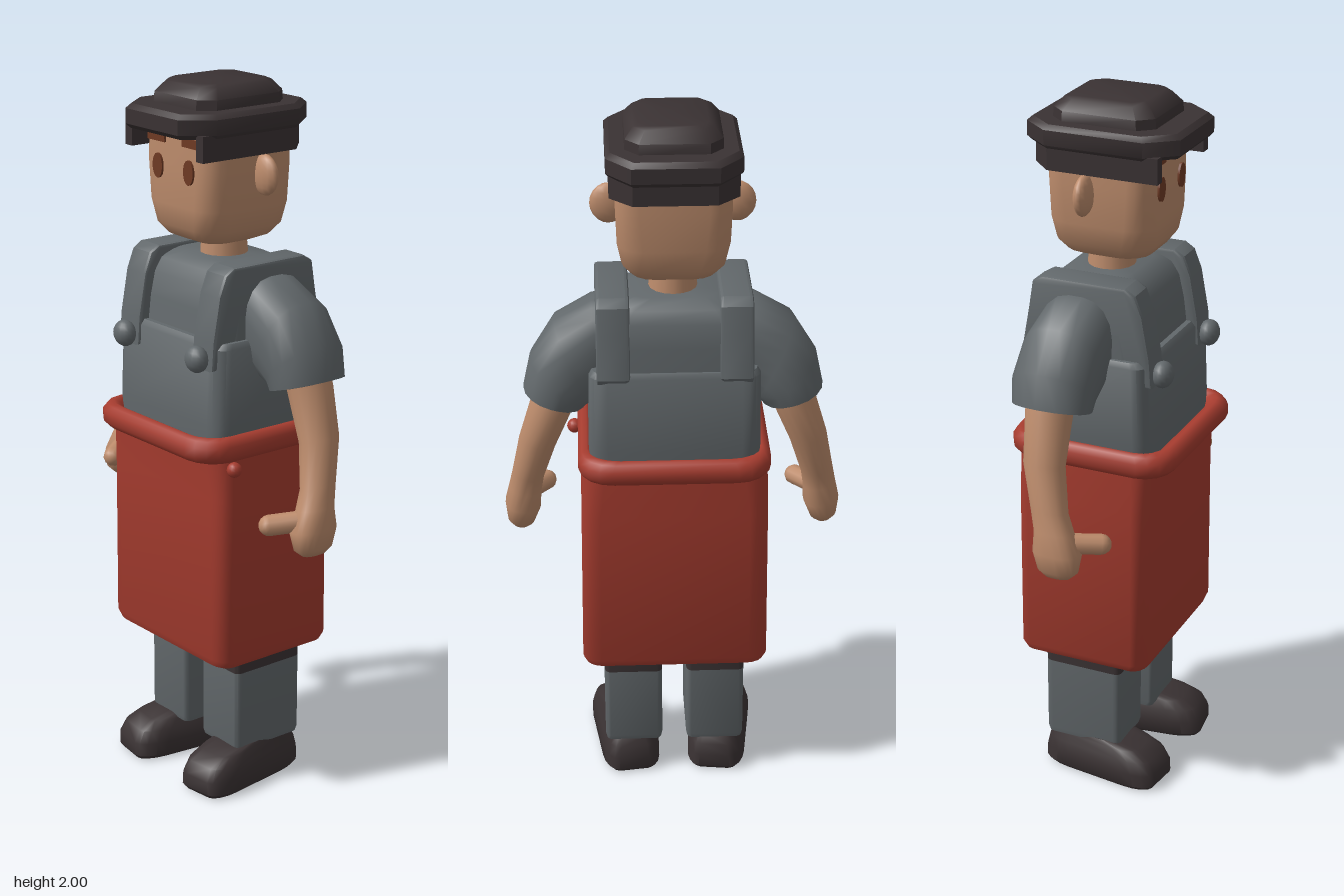
import * as THREE from 'three';
import { toCreasedNormals } from 'three/addons/utils/BufferGeometryUtils.js';

const mat = (name, color) => {
  const m = new THREE.MeshStandardMaterial({ color });
  m.name = name;
  return m;
};

// Skin through rounded-rectangle rings, listed bottom to top.
// ring: [x, y, z, halfWidth, halfDepth, rounding 0..1, tilt]; side -1 mirrors in x.
function loft(rings, { side = 1, seg = 4, crease = 0.7 } = {}) {
  const pos = [], idx = [], n = 4 * (seg + 1);
  for (const [x, y, z, w, d, k = 0.3, tilt = 0] of rings) {
    for (let c = 0; c < 4; c++) {
      const sx = c === 0 || c === 3 ? 1 : -1, sz = c < 2 ? 1 : -1;
      for (let i = 0; i <= seg; i++) {
        const a = (c + i / seg) * Math.PI / 2;
        const u = w * (sx * (1 - k) + k * Math.cos(a));
        const v = d * (sz * (1 - k) + k * Math.sin(a));
        pos.push(side * (x + u * Math.cos(tilt)), y + u * Math.sin(tilt), z + v);
      }
    }
  }
  const tri = (a, b, c) => (side > 0 ? idx.push(a, b, c) : idx.push(a, c, b));
  const last = (rings.length - 1) * n;
  for (let r = 0; r < last; r += n) {
    for (let i = 0; i < n; i++) {
      const j = (i + 1) % n;
      tri(r + i, r + n + i, r + j);
      tri(r + j, r + n + i, r + n + j);
    }
  }
  // End caps
  for (const [r, top] of [[0, false], [last, true]]) {
    const [x, y, z] = rings[r / n], centre = pos.length / 3;
    pos.push(side * x, y, z);
    for (let i = 0; i < n; i++) {
      const j = (i + 1) % n;
      if (top) tri(centre, r + j, r + i);
      else tri(centre, r + i, r + j);
    }
  }
  const g = new THREE.BufferGeometry();
  g.setAttribute('position', new THREE.Float32BufferAttribute(pos, 3));
  g.setIndex(idx);
  return toCreasedNormals(g, crease);
}

export function createModel() {
  const group = new THREE.Group();
  const cloth = mat('grey cloth', 0x62686b);
  const red = mat('red apron', 0xa63c2f);
  const skin = mat('skin', 0xbd8c6c);
  const dark = mat('dark leather', 0x3a3233);
  const brown = mat('brown', 0x6f3a24);
  const add = (name, geo, m) => {
    const mesh = new THREE.Mesh(geo, m);
    mesh.name = name;
    group.add(mesh);
    return mesh;
  };

  // Skirt with a rolled rim that dips inward at the top
  add('skirt', loft([
    [0, 0.40, -0.015, 0.235, 0.17, 0.2], [0, 0.408, -0.015, 0.252, 0.187, 0.2],
    [0, 0.43, -0.015, 0.262, 0.195, 0.2], [0, 0.90, -0.015, 0.258, 0.195, 0.2],
    [0, 1.03, -0.01, 0.255, 0.2, 0.25],
  ]), red);
  add('skirtRim', loft([
    [0, 1.01, 0, 0.235, 0.2, 0.35], [0, 1.015, 0, 0.255, 0.228, 0.35],
    [0, 1.032, 0, 0.264, 0.242, 0.35], [0, 1.06, 0, 0.264, 0.242, 0.35],
    [0, 1.077, 0, 0.254, 0.23, 0.35], [0, 1.083, 0, 0.24, 0.215, 0.35],
    [0, 1.075, 0, 0.228, 0.2, 0.35], [0, 1.05, 0, 0.22, 0.185, 0.35],
  ], { crease: 1 }), red);
  const knob = add('skirtKnob', new THREE.SphereGeometry(0.021, 12, 8), red);
  knob.position.set(0.274, 1.0, 0.152);

  // Bib and shirt
  add('bib', loft([
    [0, 1.03, -0.012, 0.228, 0.185, 0.22], [0, 1.10, -0.012, 0.234, 0.187, 0.22],
    [0, 1.318, -0.016, 0.231, 0.183, 0.22], [0, 1.333, -0.018, 0.222, 0.173, 0.22],
  ]), cloth);
  add('shirt', loft([
    [0, 1.25, -0.02, 0.215, 0.17, 0.3], [0, 1.40, -0.025, 0.21, 0.157, 0.3],
    [0, 1.465, -0.028, 0.205, 0.145, 0.35], [0, 1.50, -0.03, 0.18, 0.125, 0.4],
    [0, 1.522, -0.03, 0.12, 0.09, 0.5],
  ], { crease: 1 }), cloth);

  // Head and neck
  add('neck', new THREE.CylinderGeometry(0.058, 0.07, 0.14, 16).translate(0, 1.545, -0.03), skin);
  add('head', loft([
    [0, 1.565, -0.012, 0.08, 0.085, 0.6], [0, 1.58, -0.012, 0.115, 0.12, 0.55],
    [0, 1.61, -0.012, 0.138, 0.142, 0.5], [0, 1.67, -0.012, 0.15, 0.151, 0.45],
    [0, 1.78, -0.012, 0.154, 0.152, 0.4], [0, 1.90, -0.012, 0.15, 0.15, 0.4],
  ], { crease: 1 }), skin);

  // Flat cap: crown, thick band and a flap round the sides and back
  add('capBand', loft([
    [0, 1.872, -0.004, 0.168, 0.208, 0.36], [0, 1.884, -0.004, 0.178, 0.219, 0.36],
    [0, 1.925, -0.004, 0.178, 0.219, 0.36], [0, 1.938, -0.004, 0.166, 0.205, 0.36],
  ], { seg: 1 }), dark);
  add('capCrown', loft([
    [0, 1.93, -0.01, 0.128, 0.148, 0.28], [0, 1.965, -0.01, 0.127, 0.145, 0.28],
    [0, 1.993, -0.01, 0.105, 0.12, 0.28], [0, 2.0, -0.01, 0.09, 0.105, 0.28],
  ], { seg: 1 }), dark);
  const flap = new THREE.Shape([
    [0.17, 0.175], [0.17, -0.14], [0.11, -0.2], [-0.11, -0.2], [-0.17, -0.14], [-0.17, 0.175],
    [-0.14, 0.175], [-0.14, -0.12], [-0.1, -0.16], [0.1, -0.16], [0.14, -0.12], [0.14, 0.175],
  ].map(([x, z]) => new THREE.Vector2(x, z)));
  add('capFlap', new THREE.ExtrudeGeometry(flap, { depth: 0.07, bevelEnabled: false })
    .rotateX(Math.PI / 2).translate(0, 1.885, 0), dark);

  // Strap side profile, running over the shoulder (z, y)
  const strap = new THREE.Shape([
    [0.178, 1.26], [0.172, 1.34], [0.15, 1.46], [0.128, 1.515], [0.1, 1.533], [-0.14, 1.533],
    [-0.17, 1.515], [-0.182, 1.44], [-0.204, 1.32], [-0.17, 1.26],
  ].map(([z, y]) => new THREE.Vector2(z, y)));

  for (const side of [1, -1]) {
    const pre = side > 0 ? 'left' : 'right';
    const part = (name, rings, m, opt = {}) => add(pre + name, loft(rings, { side, ...opt }), m);

    // Strap and button
    add(pre + 'Strap', toCreasedNormals(new THREE.ExtrudeGeometry(strap, {
      depth: 0.07, bevelSize: 0.008, bevelThickness: 0.01, bevelOffset: -0.008, bevelSegments: 2,
    }).rotateY(-Math.PI / 2).translate(0.035 + side * 0.165, 0, 0), 0.6), cloth);
    const button = add(pre + 'Button', new THREE.SphereGeometry(0.037, 16, 10), cloth);
    button.scale.z = 0.8;
    button.position.set(side * 0.162, 1.29, 0.192);

    // Sleeve, from cuff to shoulder
    part('Sleeve', [
      [0.322, 1.212, -0.057, 0.07, 0.09, 0.9, 0.29], [0.325, 1.215, -0.057, 0.087, 0.108, 0.9, 0.29],
      [0.312, 1.265, -0.057, 0.102, 0.114, 0.9, 0.72], [0.27, 1.32, -0.05, 0.128, 0.112, 0.85, 1.15],
      [0.21, 1.36, -0.04, 0.132, 0.105, 0.8, 1.5], [0.12, 1.37, -0.035, 0.13, 0.1, 0.8, 1.57],
    ], cloth, { crease: 1 });

    // Arm and fist, from knuckles to upper arm
    part('Arm', [
      [0.432, 0.772, 0.005, 0.022, 0.035, 0.8, 0.15], [0.43, 0.79, 0.005, 0.038, 0.055, 0.8, 0.15],
      [0.423, 0.84, 0.0, 0.05, 0.066, 0.8, 0.15], [0.415, 0.895, -0.012, 0.046, 0.055, 0.9, 0.2],
      [0.405, 0.95, -0.03, 0.045, 0.052, 1, 0.25], [0.375, 1.07, -0.058, 0.052, 0.058, 1, 0.27],
      [0.328, 1.2, -0.065, 0.06, 0.065, 1, 0.29], [0.31, 1.26, -0.06, 0.06, 0.065, 1, 0.4],
    ], skin, { crease: 1.2 });
    const thumb = add(pre + 'Thumb', new THREE.CapsuleGeometry(0.029, 0.075, 4, 10), skin);
    thumb.position.set(side * 0.378, 0.858, 0.068);
    thumb.quaternion.setFromUnitVectors(new THREE.Vector3(0, 1, 0),
      new THREE.Vector3(-side * 0.06, -0.012, 0.09).normalize());

    // Ear, eye and eyebrow
    const ear = add(pre + 'Ear', new THREE.SphereGeometry(1, 14, 10), skin);
    ear.scale.set(0.05, 0.056, 0.023);
    ear.position.set(side * 0.17, 1.76, -0.033);
    const eye = add(pre + 'Eye', new THREE.CylinderGeometry(1, 1, 0.008, 14).rotateX(Math.PI / 2), brown);
    eye.scale.set(0.021, 0.034, 1);
    eye.position.set(side * 0.067, 1.77, 0.142);
    const brow = add(pre + 'Eyebrow', new THREE.BoxGeometry(0.075, 0.024, 0.008), brown);
    brow.position.set(side * 0.075, 1.848, 0.14);

    // Trouser leg with a dark upper section
    part('Leg', [
      [0.118, 0.11, -0.035, 0.08, 0.112, 0.18], [0.118, 0.125, -0.035, 0.083, 0.116, 0.18],
      [0.118, 0.35, -0.035, 0.083, 0.116, 0.18],
    ], cloth);
    part('LegTop', [
      [0.118, 0.35, -0.035, 0.083, 0.116, 0.18], [0.118, 0.42, -0.035, 0.083, 0.116, 0.18],
    ], dark);

    // Shoe, toes turned slightly outward
    const shoe = part('Shoe', [
      [0, 0.0, 0.02, 0.075, 0.172, 0.45], [0, 0.012, 0.02, 0.084, 0.181, 0.45],
      [0, 0.05, 0.02, 0.085, 0.181, 0.5], [0, 0.085, 0.014, 0.078, 0.168, 0.5],
      [0, 0.108, 0.0, 0.066, 0.14, 0.5], [0, 0.122, -0.03, 0.062, 0.1, 0.5],
    ], dark);
    shoe.position.x = side * 0.138;
    shoe.rotation.y = side * 0.13;
  }
  return group;
}
